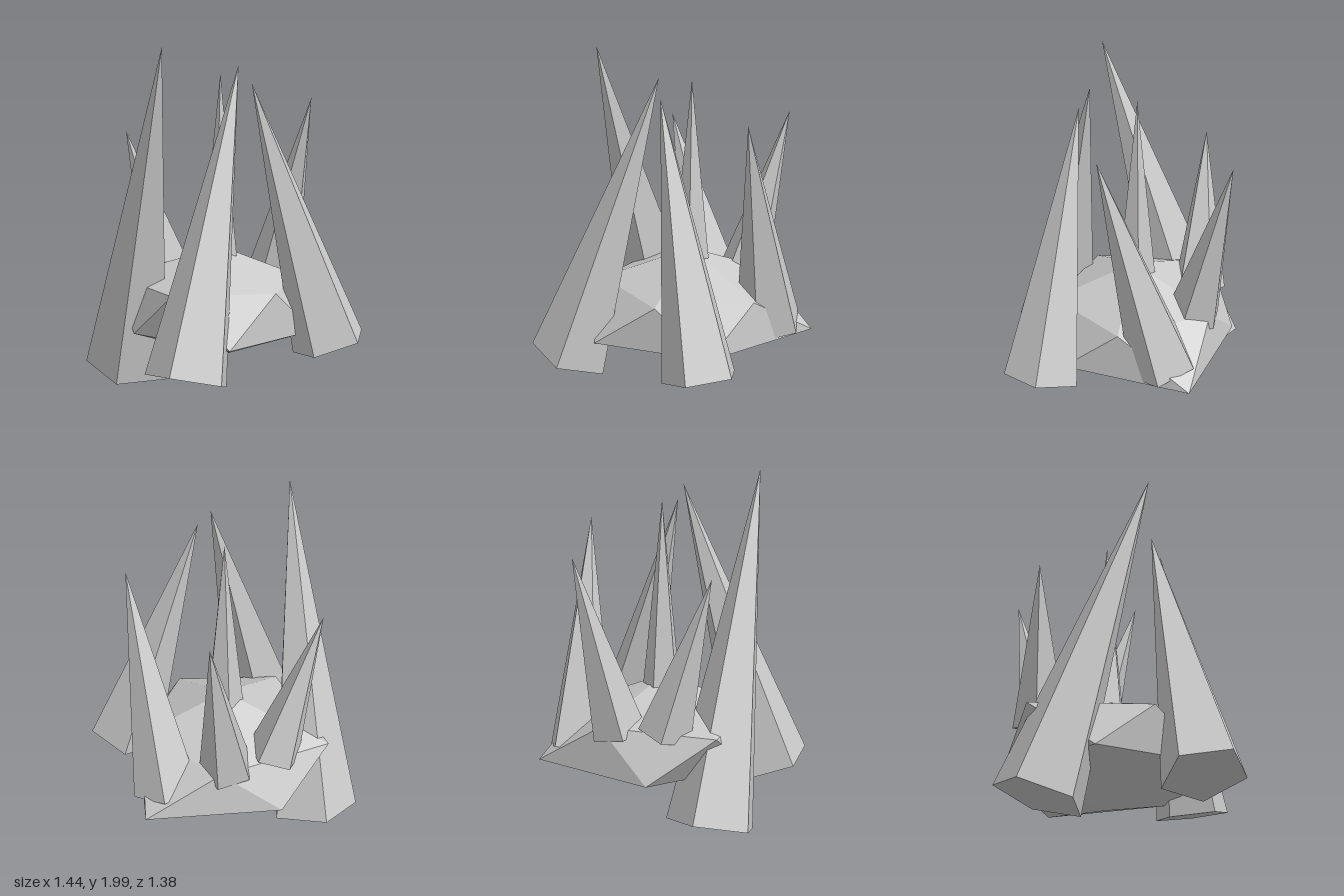
import * as THREE from 'three';

const material = new THREE.MeshStandardMaterial({ color: 0xcccccc, flatShading: true });

// Five-sided spike from base centre to tip; one base corner points towards `corner`
function spike(name, base, tip, radius, corner) {
  const b = new THREE.Vector3(...base);
  const axis = new THREE.Vector3(...tip).sub(b);
  const height = axis.length();
  const y = axis.clone().normalize();
  const z = new THREE.Vector3(...corner).projectOnPlane(y).normalize();
  const x = new THREE.Vector3().crossVectors(y, z);
  const geometry = new THREE.ConeGeometry(radius, height, 5);
  geometry.translate(0, height / 2, 0);
  const mesh = new THREE.Mesh(geometry, material);
  mesh.name = name;
  mesh.quaternion.setFromRotationMatrix(new THREE.Matrix4().makeBasis(x, y, z));
  mesh.position.copy(b);
  return mesh;
}

// Squashed, uneven twenty-faced rock: two poles and two staggered rings of five
function rock() {
  const ring = (radii, start, height) => radii.map((r, i) => {
    const a = THREE.MathUtils.degToRad(start + 72 * i);
    return [r * Math.cos(a), height, -0.1 + r * Math.sin(a)];
  });
  const upper = ring([0.5, 0.48, 0.53, 0.65, 0.5], 0, 0.6);
  const lower = ring([0.56, 0.64, 0.55, 0.6, 0.73], 36, 0.33);
  const top = [0, 0.81, -0.1];
  const bottom = [0, 0.15, -0.1];
  const points = [];
  for (let i = 0; i < 5; i++) {
    const n = (i + 1) % 5;
    points.push(
      top, upper[n], upper[i],
      upper[i], upper[n], lower[i],
      upper[n], lower[n], lower[i],
      bottom, lower[i], lower[n]
    );
  }
  const geometry = new THREE.BufferGeometry();
  geometry.setAttribute('position', new THREE.Float32BufferAttribute(points.flat(), 3));
  geometry.computeVertexNormals();
  const mesh = new THREE.Mesh(geometry, material);
  mesh.name = 'rockBase';
  return mesh;
}

export function createModel() {
  const group = new THREE.Group();
  group.name = 'crystalCluster';
  group.add(
    rock(),
    spike('tallRightSpike', [-0.47, 0.07, -0.41], [-0.47, 2, 0.19], 0.265, [0, 0.1, -1]),
    spike('frontRightSpike', [-0.43, 0.176, 0.472], [0, 1.89, 0.16], 0.247, [-0.17, 0.07, 0.16]),
    spike('frontLeftSpike', [0.5, 0.275, 0.345], [0.06, 1.79, 0.21], 0.225, [0.217, 0.065, -0.015]),
    spike('leftSpike', [0.415, 0.38, -0.35], [0.53, 1.68, 0.01], 0.2, [1, 0, 0]),
    spike('centreSpike', [0, 0.76, -0.11], [0, 1.83, -0.11], 0.112, [0, 0, -1]),
    spike('backRightSpike', [-0.2, 0.58, -0.455], [-0.47, 1.48, -0.44], 0.16, [-1, 0, 0]),
    spike('backLeftSpike', [0.09, 0.56, -0.475], [0.25, 1.58, -0.69], 0.16, [0, 0, 1])
  );
  return group;
}
